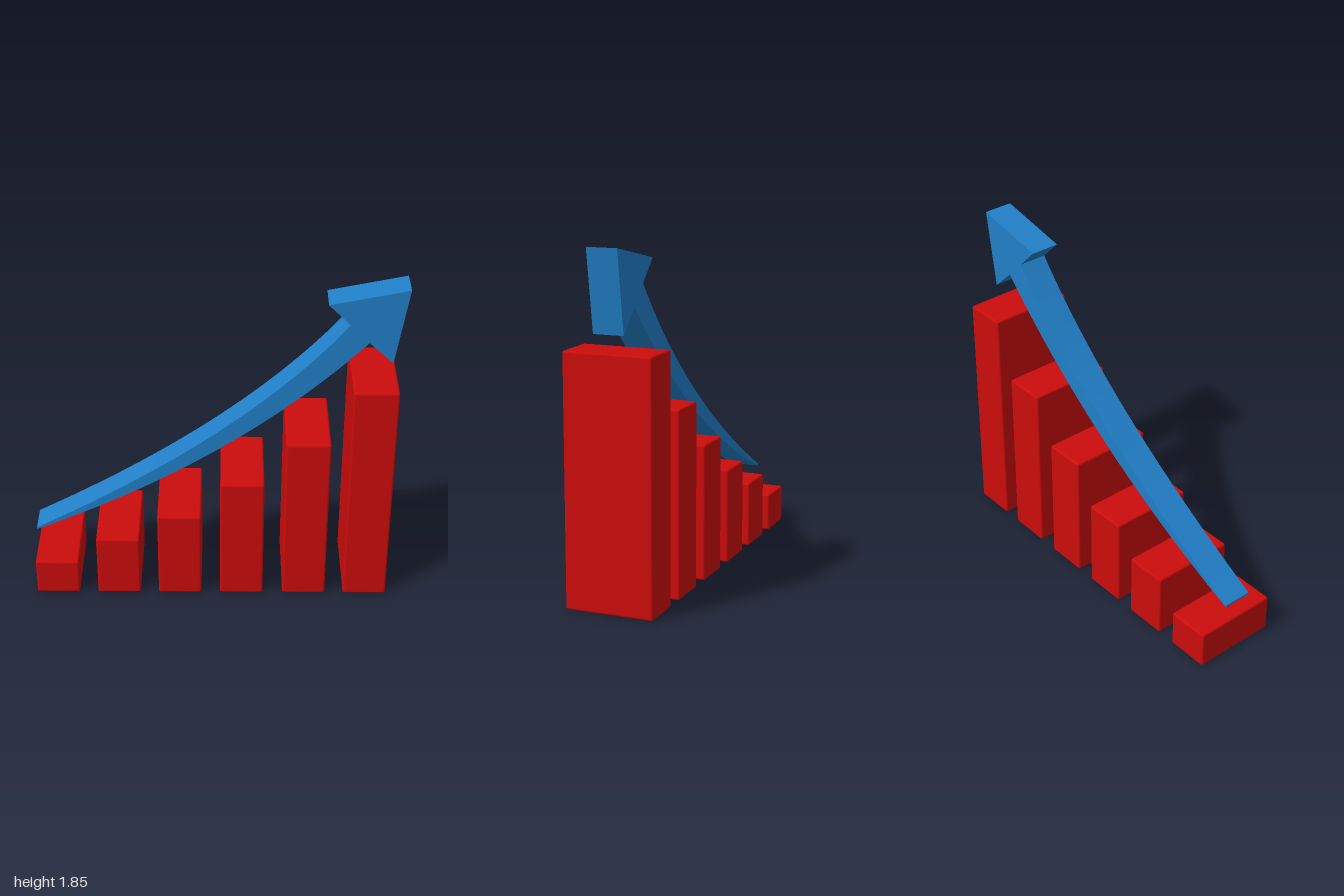
import * as THREE from 'three';
import { RoundedBoxGeometry } from 'three/addons/geometries/RoundedBoxGeometry.js';

export function createModel() {
  const model = new THREE.Group();
  model.name = 'growthChart';

  const red = new THREE.MeshStandardMaterial({ color: 0xcc0c0c });
  red.name = 'bar red';
  const blue = new THREE.MeshStandardMaterial({ color: 0x217fc8 });
  blue.name = 'arrow blue';

  // Rising bars with slightly softened edges: [centre x, height]
  const bars = [[-0.88, 0.215], [-0.537, 0.37], [-0.195, 0.528], [0.15, 0.745], [0.5, 1.005], [0.842, 1.33]];
  bars.forEach(([x, height], i) => {
    const bar = new THREE.Mesh(new RoundedBoxGeometry(0.24, height, 0.48, 3, 0.012), red);
    bar.name = `bar${i + 1}`;
    bar.position.set(x, height / 2, 0);
    model.add(bar);
  });

  // Curved arrow: tapered tail, widening shaft and barbed head in one outline
  const outline = new THREE.Shape();
  outline.moveTo(-1, 0.325);
  outline.quadraticCurveTo(0.1, 0.787, 0.803, 1.54);
  outline.lineTo(0.933, 1.418);
  outline.lineTo(1, 1.848);
  outline.lineTo(0.583, 1.762);
  outline.lineTo(0.7, 1.645);
  outline.quadraticCurveTo(0.15, 0.95, -1, 0.337);
  outline.closePath();

  const depth = 0.164;
  const geometry = new THREE.ExtrudeGeometry(outline, { depth, bevelEnabled: false, curveSegments: 32 });
  geometry.translate(0, 0, -depth / 2);
  const arrow = new THREE.Mesh(geometry, blue);
  arrow.name = 'risingArrow';
  model.add(arrow);

  return model;
}
